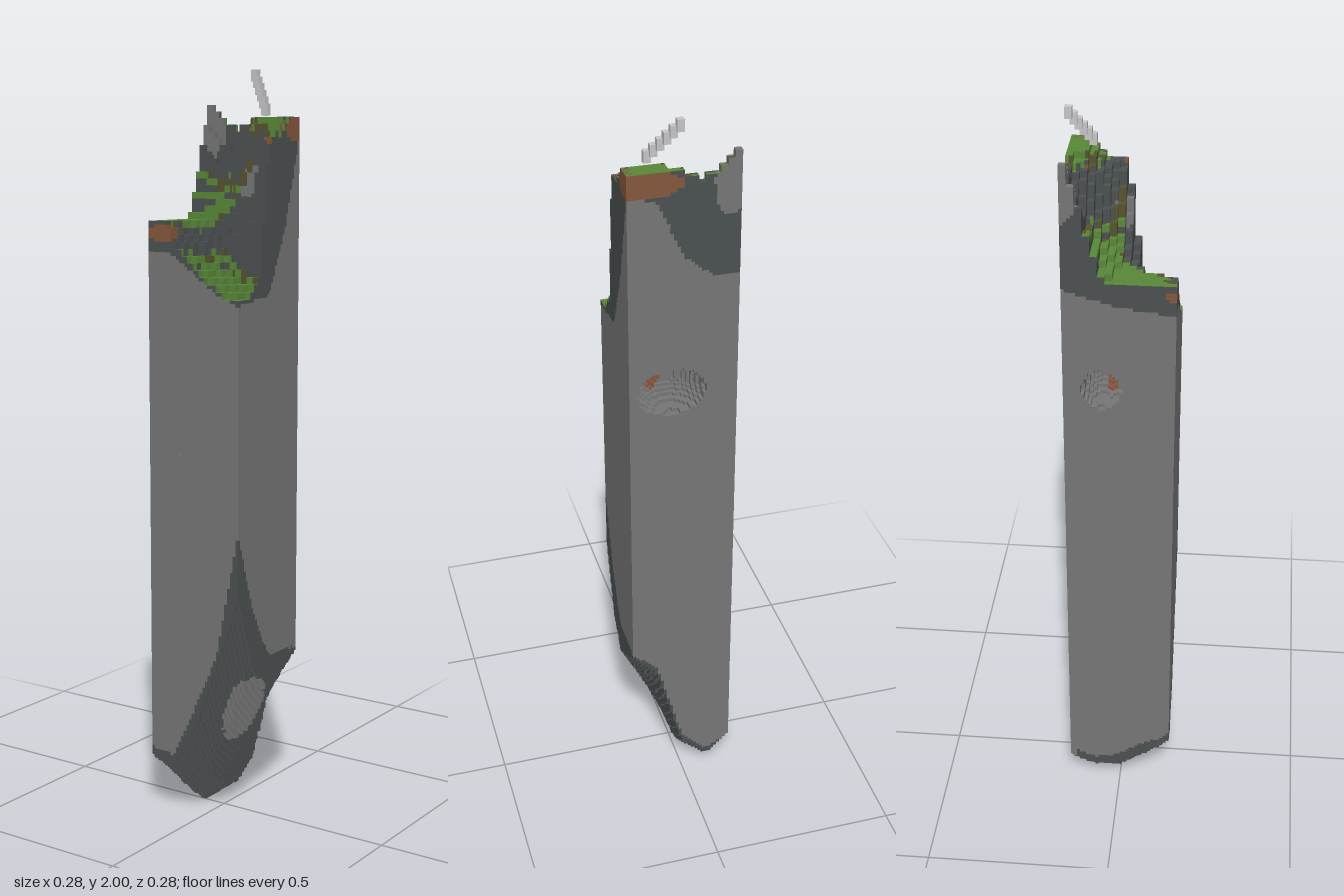
import * as THREE from 'three';

// A tall block of ground cut from a landscape, made of small cubes.
const N = 32, H = 226, U = 2 / H, HALF = (N * U) / 2;

// Control grids: rows run back to front, columns run from -x to +x.
const TOP = [
  [1.96, 1.89, 1.87, 1.88, 1.88, 1.88, 1.88],
  [1.80, 1.76, 1.73, 1.84, 1.87, 1.88, 1.88],
  [1.62, 1.64, 1.66, 1.67, 1.80, 1.83, 1.83],
  [1.61, 1.61, 1.61, 1.62, 1.67, 1.79, 1.82],
  [1.61, 1.61, 1.60, 1.58, 1.50, 1.46, 1.45],
  [1.61, 1.61, 1.59, 1.52, 1.47, 1.45, 1.42],
  [1.61, 1.60, 1.54, 1.48, 1.45, 1.42, 1.41],
];
const BOTTOM = [
  [0.09, 0.03, 0.10, 0.37, 0.44],
  [0.06, 0.00, 0.05, 0.28, 0.40],
  [0.07, 0.00, 0.06, 0.22, 0.36],
  [0.11, 0.06, 0.12, 0.28, 0.44],
  [0.16, 0.15, 0.26, 0.45, 0.65],
];
// Dark rock lies above the first surface and below the second.
const DARK_ABOVE = [
  [1.59, 1.60, 1.66, 1.82, 1.83],
  [1.57, 1.55, 1.55, 1.60, 1.58],
  [1.55, 1.53, 1.50, 1.45, 1.42],
  [1.54, 1.52, 1.48, 1.44, 1.41],
  [1.53, 1.53, 1.48, 1.43, 1.40],
];
const DARK_BELOW = [
  [0.08, 0.05, 0.12, 0.38, 0.45],
  [0.08, 0.06, 0.14, 0.42, 0.45],
  [0.10, 0.08, 0.18, 0.42, 0.46],
  [0.15, 0.12, 0.22, 0.44, 0.60],
  [0.17, 0.17, 0.32, 0.47, 0.83],
];
// Bare cliff bands in plan, as [x, z] paths.
const BANDS = [
  [[-0.142, -0.115], [-0.03, -0.11], [0.04, -0.05], [0.13, -0.02]],
  [[-0.09, 0.142], [-0.03, 0.09], [0.01, 0.025], [0.13, 0.015]],
];
// Ellipsoids: centre then radii.
const LIGHT_POCKETS = [
  [-0.115, 1.84, -0.14, 0.04, 0.09, 0.05], [0.08, 1.71, -0.01, 0.035, 0.05, 0.04],
  [0.09, 0.31, 0.04, 0.07, 0.12, 0.055],
];
const DIRT_POCKETS = [
  [0.10, 1.845, -0.13, 0.10, 0.035, 0.06], [-0.10, 1.58, 0.14, 0.045, 0.022, 0.05],
  [0.142, 1.82, 0.005, 0.02, 0.02, 0.015], [0.06, 1.30, -0.06, 0.035, 0.05, 0.04],
  [-0.06, 1.31, -0.02, 0.04, 0.04, 0.03], [0, 1.35, -0.10, 0.035, 0.03, 0.03],
];
const CAVES = [
  [0.03, 1.28, -0.142, 0.09, 0.065, 0.10], [-0.142, 1.315, -0.045, 0.12, 0.055, 0.05],
];

function sample(grid, x, z) {
  const n = grid.length - 1;
  const u = THREE.MathUtils.clamp((x / HALF + 1) / 2, 0, 0.9999) * n;
  const v = THREE.MathUtils.clamp((z / HALF + 1) / 2, 0, 0.9999) * n;
  const i = Math.floor(u), k = Math.floor(v);
  const row = (r) => THREE.MathUtils.lerp(r[i], r[i + 1], u - i);
  return THREE.MathUtils.lerp(row(grid[k]), row(grid[k + 1]), v - k);
}

const within = (list, x, y, z) => list.some(([a, b, c, r, s, t]) =>
  ((x - a) / r) ** 2 + ((y - b) / s) ** 2 + ((z - c) / t) ** 2 < 1);

function bandDistance(x, z) {
  let best = 1;
  for (const path of BANDS) {
    for (let s = 0; s + 1 < path.length; s++) {
      const [ax, az] = path[s], dx = path[s + 1][0] - ax, dz = path[s + 1][1] - az;
      const t = THREE.MathUtils.clamp(((x - ax) * dx + (z - az) * dz) / (dx * dx + dz * dz), 0, 1);
      best = Math.min(best, Math.hypot(x - ax - dx * t, z - az - dz * t));
    }
  }
  return best;
}

const hash = (a, b) => { const s = Math.sin(a * 127.1 + b * 311.7) * 43758.5; return s - Math.floor(s); };
const at = (i) => (i + 0.5) * U - HALF;

export function createModel() {
  const colors = {
    lightStone: 0x767676, darkStone: 0x4b5051, grass: 0x598839,
    mossyEarth: 0x57522f, dirt: 0x85573c, paleWood: 0xc6c6c8,
  };
  const materials = {}, faces = {};
  for (const name in colors) {
    materials[name] = new THREE.MeshStandardMaterial({ color: colors[name] });
    materials[name].name = name;
    faces[name] = [];
  }

  // Column heights (top steps are two cubes wide), ground cover and caves
  const columns = [];
  for (let k = 0; k < N; k++) {
    for (let i = 0; i < N; i++) {
      const x = at(i), z = at(k), bi = i >> 1, bk = k >> 1;
      const hx = (2 * bi + 1) * U - HALF, hz = (2 * bk + 1) * U - HALF;
      const d = bandDistance(x, z);
      let cover = 'grass';
      if (d < 0.023) cover = null;
      else if (d < 0.038 && hash(bi, bk) < 0.5) cover = 'mossyEarth';
      if (x > 0.122 && z > -0.13 && z < -0.05 && (i + k) % 2) cover = null;
      columns.push({
        x, z, cover,
        top: 2 * Math.round(sample(TOP, hx, hz) / U / 2),
        bottom: Math.round(sample(BOTTOM, x, z) / U),
        above: sample(DARK_ABOVE, x, z), below: sample(DARK_BELOW, x, z),
      });
    }
  }
  const column = (i, k) => (i < 0 || k < 0 || i >= N || k >= N ? null : columns[k * N + i]);
  const solid = (c, j) => c !== null && j >= c.bottom && j < c.top &&
    !within(CAVES, c.x, (j + 0.5) * U, c.z);

  function substance(c, j, onRim) {
    const y = (j + 0.5) * U;
    if (c.cover && !onRim) {
      if (j >= c.top - 2) return c.cover;
      if (j >= c.top - 4 && c.cover === 'mossyEarth') return c.cover;
    }
    if (within(DIRT_POCKETS, c.x, y, c.z)) return 'dirt';
    if (within(LIGHT_POCKETS, c.x, y, c.z)) return 'lightStone';
    const underside = j < c.bottom + 3 && c.z > -0.125;
    return y > c.above || y < c.below || underside ? 'darkStone' : 'lightStone';
  }

  // A quad from its lower left corner, seen from outside
  function quad(name, o, r, u) {
    const p = (a, b) => [o[0] + r[0] * a + u[0] * b, o[1] + r[1] * a + u[1] * b, o[2] + r[2] * a + u[2] * b];
    faces[name].push(...p(0, 0), ...p(1, 0), ...p(1, 1), ...p(0, 0), ...p(1, 1), ...p(0, 1));
  }

  // Skin of the cubes: tops, undersides and upright strips
  for (let k = 0; k < N; k++) {
    for (let i = 0; i < N; i++) {
      const c = column(i, k), h = U / 2;
      for (let j = c.bottom; j < c.top; j++) {
        if (!solid(c, j)) continue;
        if (!solid(c, j + 1)) {
          quad(substance(c, j, false), [c.x - h, (j + 1) * U, c.z + h], [U, 0, 0], [0, 0, -U]);
        }
        if (!solid(c, j - 1)) {
          quad(substance(c, j, true), [c.x - h, j * U, c.z - h], [U, 0, 0], [0, 0, U]);
        }
      }
      for (const [nx, nz] of [[1, 0], [-1, 0], [0, 1], [0, -1]]) {
        const next = column(i + nx, k + nz);
        const kind = (j) => (solid(c, j) && !solid(next, j) ? substance(c, j, next === null) : null);
        let start = c.bottom, current = kind(start);
        for (let j = c.bottom + 1; j <= c.top; j++) {
          const now = kind(j);
          if (now === current) continue;
          if (current) {
            quad(current, [c.x + (nx - nz) * h, start * U, c.z + (nz + nx) * h],
              [nz * U, 0, -nx * U], [0, (j - start) * U, 0]);
          }
          start = j;
          current = now;
        }
      }
    }
  }

  const group = new THREE.Group();
  group.name = 'groundColumn';
  for (const name in faces) {
    if (!faces[name].length) continue;
    const geometry = new THREE.BufferGeometry();
    geometry.setAttribute('position', new THREE.Float32BufferAttribute(faces[name], 3));
    geometry.computeVertexNormals();
    const mesh = new THREE.Mesh(geometry, materials[name]);
    mesh.name = name + 'Cubes';
    group.add(mesh);
  }

  // Pale fallen branch climbing to the back edge
  const branch = new THREE.Group();
  branch.name = 'paleBranch';
  for (let s = 0; s < 6; s++) {
    const block = new THREE.Mesh(new THREE.BoxGeometry(0.018, 0.03, 0.018), materials.paleWood);
    block.name = 'branchBlock';
    block.position.set(0.009 + 0.0135 * s, 1.985 - 0.018 * s, -0.1325 + 0.0105 * s);
    branch.add(block);
  }
  group.add(branch);
  return group;
}
